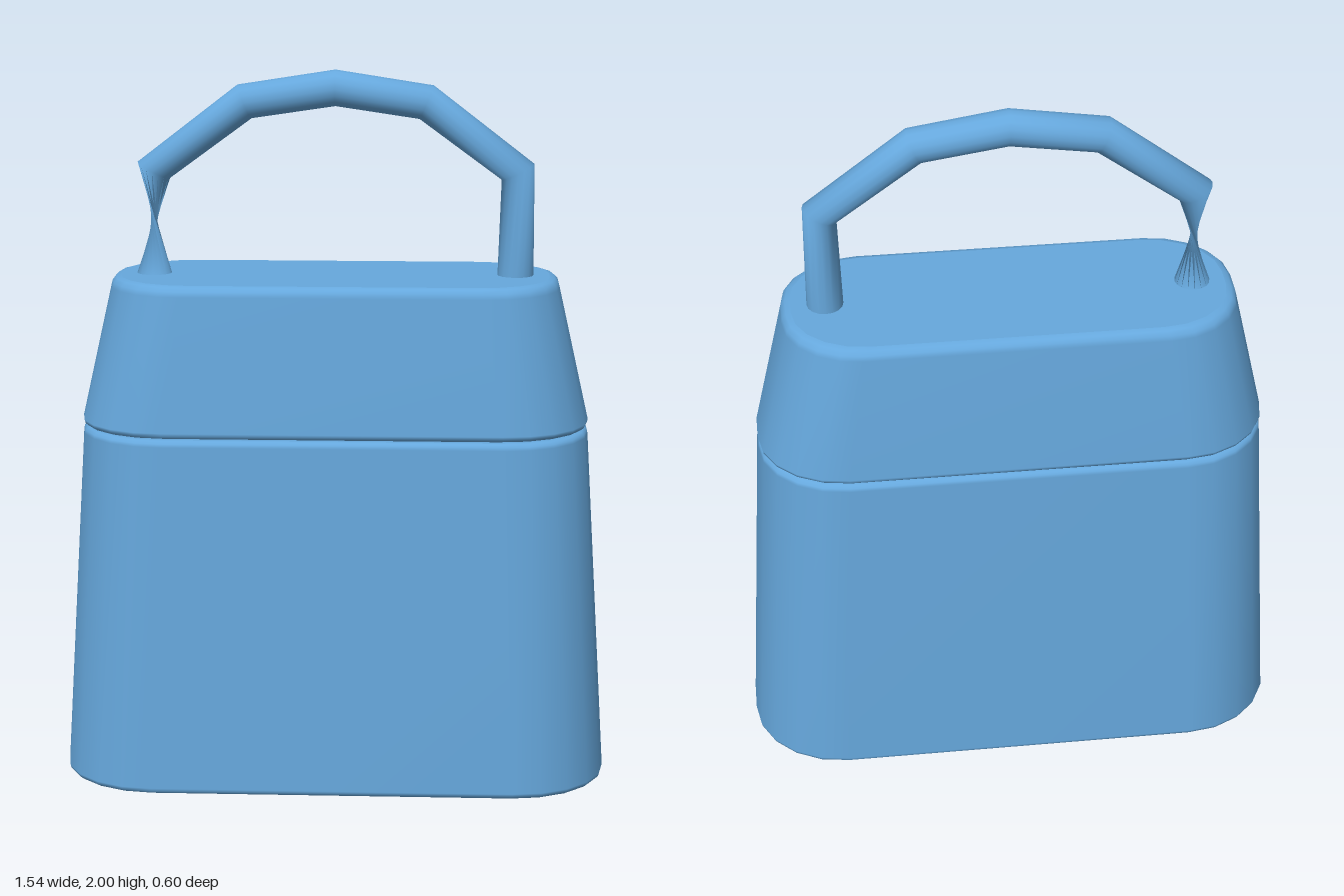
import * as THREE from 'three';

const material = new THREE.MeshStandardMaterial({ color: 0x66a8dd, side: THREE.DoubleSide });

// Smooth skin through closed rings of points, with flat caps at both ends
function loft(name, rings) {
  const n = rings[0].length, pos = [], idx = [];
  rings.forEach(ring => ring.forEach(p => pos.push(...p)));
  for (let i = 0; i < rings.length - 1; i++) {
    for (let j = 0; j < n; j++) {
      const k = (j + 1) % n, a = i * n + j, b = i * n + k;
      idx.push(a, a + n, b, b, a + n, b + n);
    }
  }
  [rings[0], rings[rings.length - 1]].forEach((ring, end) => {
    const start = pos.length / 3;
    ring.forEach(p => pos.push(...p));
    pos.push(...[0, 1, 2].map(c => ring.reduce((s, p) => s + p[c], 0) / n));
    for (let j = 0; j < n; j++) {
      const a = start + j, b = start + (j + 1) % n;
      idx.push(start + n, end ? b : a, end ? a : b);
    }
  });
  const geo = new THREE.BufferGeometry();
  geo.setAttribute('position', new THREE.Float32BufferAttribute(pos, 3));
  geo.setIndex(idx);
  geo.computeVertexNormals();
  const mesh = new THREE.Mesh(geo, material);
  mesh.name = name;
  return mesh;
}

// Rounded oblong outline of half-width hx and half-depth hz at height y
function oblong(y, hx, hz) {
  const ring = [], rx = 0.34 * hx, rz = 0.85 * hz, steps = 5;
  for (let q = 0; q < 4; q++) {
    const sx = q === 0 || q === 3 ? 1 : -1, sz = q < 2 ? 1 : -1;
    for (let s = 0; s <= steps; s++) {
      const a = (q + s / steps) * Math.PI / 2;
      ring.push([sx * (hx - rx) + rx * Math.cos(a), y, sz * (hz - rz) + rz * Math.sin(a)]);
    }
  }
  return ring;
}

// Tapered block with softly rounded bottom and top rims
function block(name, y0, hx0, hz0, y1, hx1, hz1, r0, r1) {
  const rings = [], steps = 3;
  for (let s = 0; s <= steps; s++) {
    const a = s / steps * Math.PI / 2, inset = r0 * (1 - Math.sin(a));
    rings.push(oblong(y0 + r0 * (1 - Math.cos(a)), hx0 - inset, hz0 - inset));
  }
  for (let s = 0; s <= steps; s++) {
    const a = s / steps * Math.PI / 2, inset = r1 * (1 - Math.cos(a));
    rings.push(oblong(y1 - r1 * (1 - Math.sin(a)), hx1 - inset, hz1 - inset));
  }
  return loft(name, rings);
}

// Faceted arched handle whose last leg is twisted half a turn
function handle() {
  const path = [[0.5, 1.43], [0.503, 1.722], [0.25, 1.912], [0, 1.95],
    [-0.25, 1.912], [-0.503, 1.722], [-0.505, 1.43]];
  const last = path.length - 1, sides = 16, radius = 0.05;
  const direction = i => {
    const [a, b] = [path[i], path[i + 1]];
    return new THREE.Vector2(b[0] - a[0], b[1] - a[1]).normalize();
  };
  const rings = path.map(([x, y], i) => {
    const t = direction(Math.max(i - 1, 0)).add(direction(Math.min(i, last - 1))).normalize();
    const r = i === last ? -radius : radius;
    return Array.from({ length: sides }, (_, j) => {
      const a = j / sides * Math.PI * 2, c = r * Math.cos(a);
      return [x + t.y * c, y - t.x * c, r * Math.sin(a)];
    });
  });
  return loft('handle', rings);
}

export function createModel() {
  const model = new THREE.Group();
  model.name = 'handledCase';
  model.add(
    block('body', 0, 0.77, 0.298, 1.015, 0.707, 0.274, 0.018, 0.018),
    block('lid', 1.018, 0.707, 0.274, 1.435, 0.622, 0.243, 0.018, 0.028),
    handle()
  );
  return model;
}
